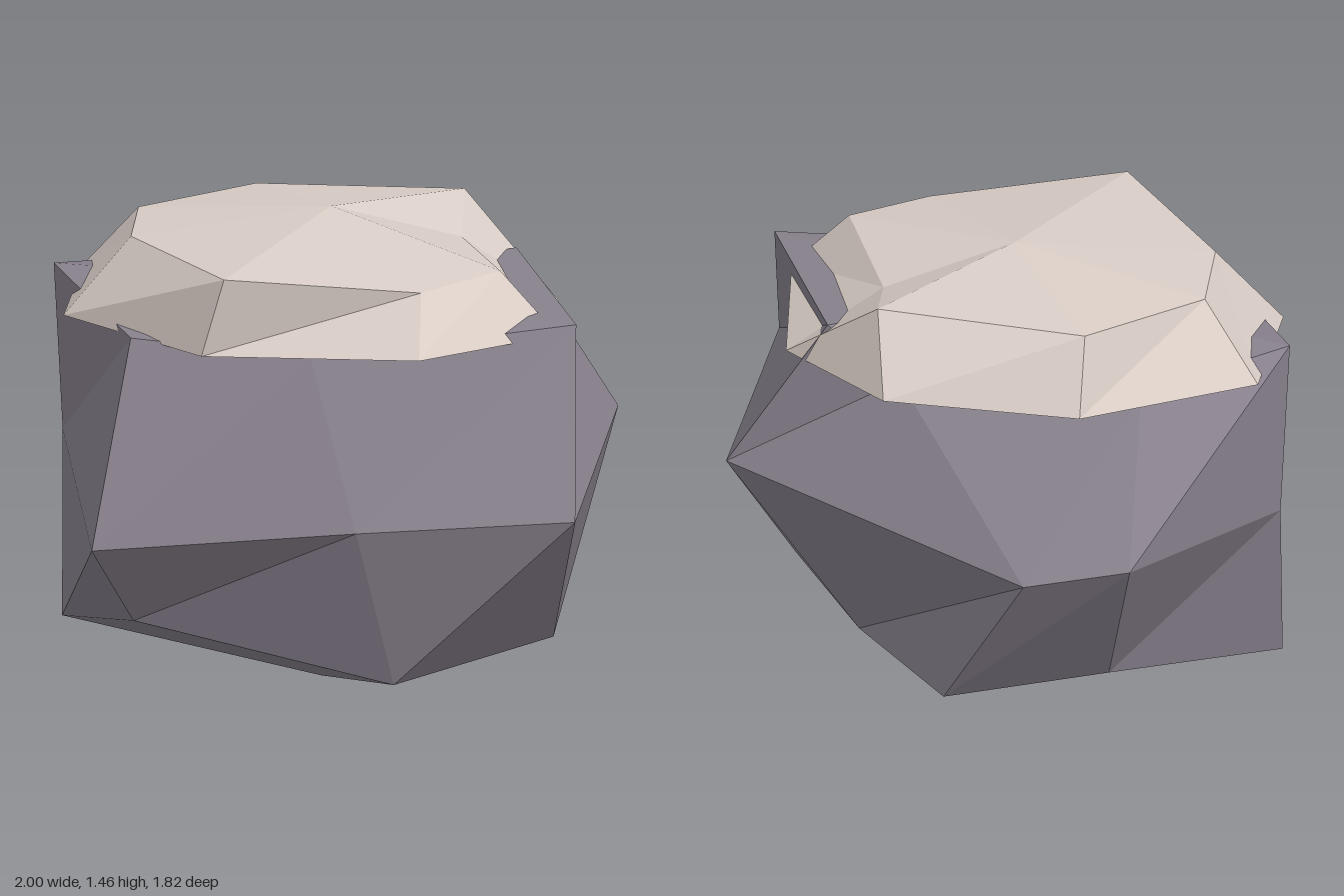
import * as THREE from 'three';

const stone = new THREE.MeshStandardMaterial({ color: 0x87808c, flatShading: true });
stone.name = 'purple grey stone';
const pale = new THREE.MeshStandardMaterial({ color: 0xd8ccc5, flatShading: true });
pale.name = 'pale cap';

// Closed faceted body: bottom point, rings listed upward (front, then round by +x), top point
function facetedBody(name, bottom, rings, top, material) {
  const n = rings[0].length;
  const pos = [];
  const tri = (a, b, c) => pos.push(...a, ...b, ...c);
  const last = rings[rings.length - 1];
  for (let i = 0; i < n; i++) {
    const j = (i + 1) % n;
    tri(rings[0][j], rings[0][i], bottom);
    for (let r = 0; r < rings.length - 1; r++) {
      const lo = rings[r], hi = rings[r + 1];
      tri(lo[i], lo[j], hi[j]);
      tri(lo[i], hi[j], hi[i]);
    }
    tri(last[i], last[j], top);
  }
  const geo = new THREE.BufferGeometry();
  geo.setAttribute('position', new THREE.Float32BufferAttribute(pos, 3));
  geo.computeVertexNormals();
  const mesh = new THREE.Mesh(geo, material);
  mesh.name = name;
  return mesh;
}

export function createModel() {
  const group = new THREE.Group();
  group.name = 'cappedRock';

  // Boulder: low, widest and upper rings of seven corners
  group.add(facetedBody('boulder', [-0.1, 0, -0.04], [
    [[-0.39, 0.27, 0.57], [0.43, 0.14, 0.36], [0.65, 0.2, -0.2], [0.19, 0.19, -0.52],
      [-0.33, 0.21, -0.81], [-0.72, 0.27, -0.48], [-0.89, 0.13, 0.21]],
    [[-0.32, 0.58, 0.91], [0.39, 0.65, 0.51], [1, 0.71, 0.21], [0.5, 0.78, -0.79],
      [-0.7, 0.72, -0.91], [-0.98, 0.78, -0.74], [-0.98, 0.68, 0.07]],
    [[-0.42, 1.16, 0.54], [0.15, 1.15, 0.4], [0.78, 1.23, -0.13], [0.21, 1.27, -0.66],
      [-0.02, 1.12, -0.6], [-0.75, 1.18, -0.35], [-0.98, 1.22, 0.12]],
  ], [-0.1, 1.25, -0.05], stone));

  // Cap: wide rim and raised shoulder of eight corners
  group.add(facetedBody('cap', [-0.1, 1.04, -0.1], [
    [[-0.14, 1.15, 0.57], [0.55, 1.2, 0.4], [0.68, 1.17, -0.18], [0.38, 1.13, -0.64],
      [-0.16, 1.2, -0.89], [-0.68, 1.16, -0.58], [-1, 1.17, -0.08], [-0.76, 1.15, 0.4]],
    [[-0.07, 1.4, 0.55], [0.4, 1.34, 0.16], [0.5, 1.36, -0.13], [0.14, 1.34, -0.46],
      [-0.02, 1.41, -0.72], [-0.63, 1.39, -0.48], [-0.78, 1.39, -0.05], [-0.61, 1.39, 0.25]],
  ], [-0.15, 1.46, -0.17], pale));

  return group;
}
